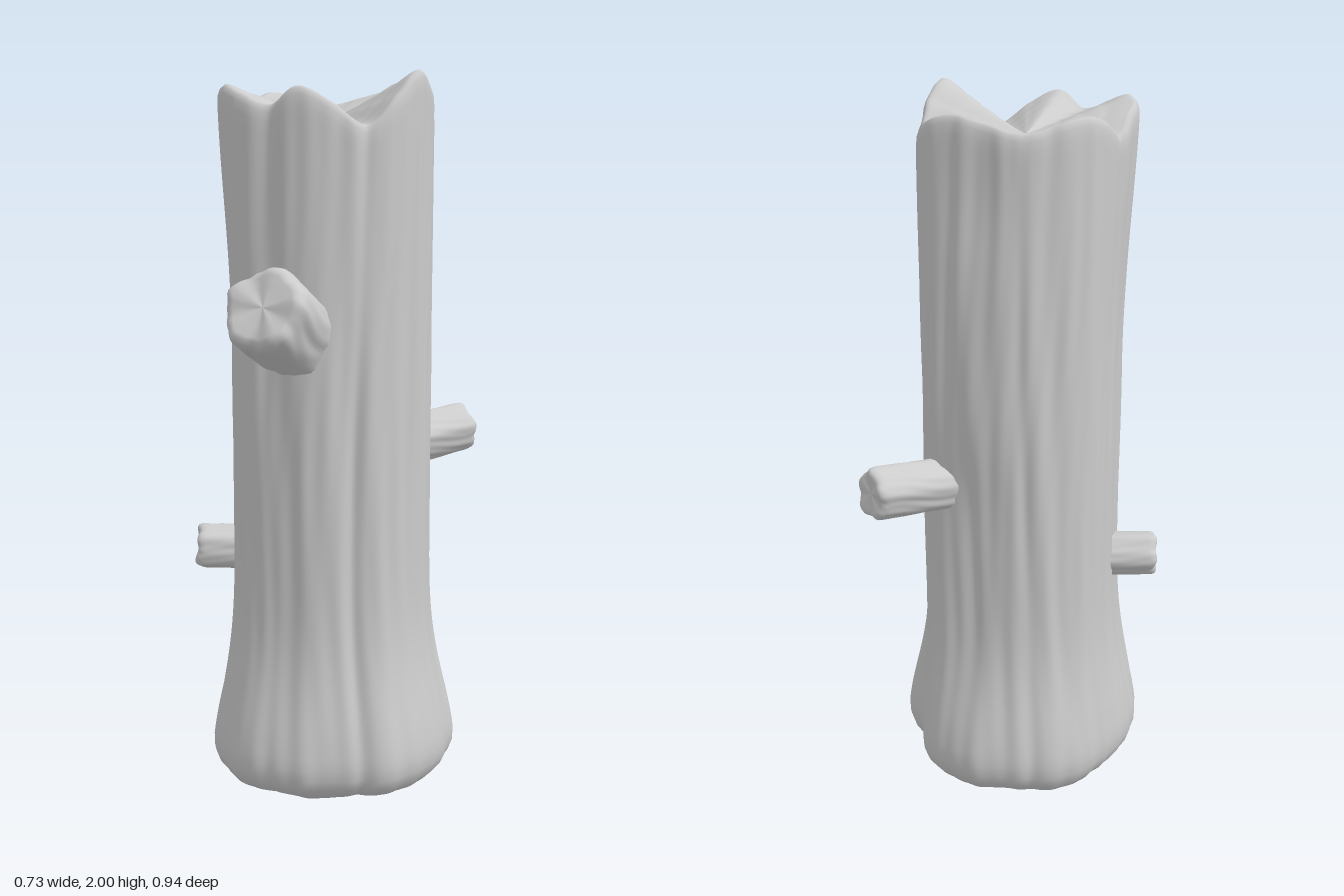
import * as THREE from 'three';

const TAU = Math.PI * 2;
const rad = THREE.MathUtils.degToRad;
const lerp = THREE.MathUtils.lerp;

// Smooth periodic interpolation through [degrees, value] pairs
function around(pairs) {
  return (a) => {
    const d = ((a * 360 / TAU) % 360 + 360) % 360;
    const n = pairs.length;
    let i = n - 1;
    for (let k = 0; k < n; k++) if (pairs[k][0] <= d) i = k;
    if (d < pairs[0][0]) i = n - 1;
    const p = (k) => pairs[(k + n) % n][1];
    const start = pairs[i][0];
    const span = (pairs[(i + 1) % n][0] - start + 360) % 360;
    const t = ((d - start + 360) % 360) / span;
    const m0 = (p(i + 1) - p(i - 1)) / 2, m1 = (p(i + 2) - p(i)) / 2;
    const t2 = t * t, t3 = t2 * t;
    return (2 * t3 - 3 * t2 + 1) * p(i) + (t3 - 2 * t2 + t) * m0
      + (3 * t2 - 2 * t3) * p(i + 1) + (t3 - t2) * m1;
  };
}

// Bell curve of the angle between a and deg, width in degrees
function bell(a, deg, width) {
  const d = a - rad(deg);
  const w = Math.atan2(Math.sin(d), Math.cos(d)) / rad(width);
  return Math.exp(-w * w);
}

// Closed skin from stacked rings; ring(k, angle) gives [radius, height]
function skin(rows, segments, ring) {
  const pos = [], index = [];
  for (let k = 0; k < rows; k++) {
    for (let j = 0; j < segments; j++) {
      const a = j / segments * TAU;
      const [r, y] = ring(k, a);
      pos.push(r * Math.cos(a), y, r * Math.sin(a));
      if (k < rows - 1) {
        const n = (j + 1) % segments, o = k * segments;
        index.push(o + j, o + segments + j, o + n, o + n, o + segments + j, o + segments + n);
      }
    }
  }
  const g = new THREE.BufferGeometry();
  g.setAttribute('position', new THREE.Float32BufferAttribute(pos, 3));
  g.setIndex(index);
  g.computeVertexNormals();
  return g;
}

const footRadius = around([[0, .365], [20, .37], [40, .37], [60, .345], [90, .365], [107, .375], [130, .365],
  [155, .34], [180, .318], [200, .318], [217, .335], [247, .33], [278, .35], [293, .355], [318, .325], [340, .365]]);
const stemRadius = around([[0, .295], [25, .3], [50, .295], [75, .298], [90, .295], [118, .32], [135, .315],
  [160, .285], [180, .272], [200, .275], [225, .268], [245, .268], [270, .262], [297, .3], [312, .295], [340, .285]]);
const rimHeight = around([[8, 2.0], [26, 1.935], [43, 1.86], [63, 1.92], [80, 1.957], [96, 1.912], [112, 1.94],
  [130, 1.965], [152, 1.935], [172, 1.88], [188, 1.93], [207, 1.95], [240, 1.915], [264, 1.935], [285, 1.953],
  [308, 1.92], [328, 1.88], [347, 1.95]]);

// Broad swellings of the stem: [degrees, width, height, half height, amount]
const swells = [[145, 32, .95, .75, -.04], [270, 25, 1.32, .35, .018]];
// Bark folds: [degrees, depth]
const folds = [[47, .012], [96, .005], [172, .008], [240, .006], [328, .01], [15, .004], [285, .005]];
function bark(a, y) {
  let s = .0022 * Math.sin(11 * a + 1.3 * Math.sin(2.6 * y))
    + .0018 * Math.sin(19 * a + 2 * Math.sin(2.1 * y + 1))
    + .0014 * Math.sin(31 * a + 2.5 * Math.sin(3.3 * y + 2)) * Math.sin(4 * y + 3 * a)
    + .002 * Math.sin(3 * y + 2 * a);
  for (const [deg, depth] of folds) s -= depth * bell(a + .06 * Math.sin(2.4 * y + deg), deg, 4);
  for (const [deg, width, mid, half, amount] of swells) {
    s += amount * bell(a, deg, width) * Math.exp(-(((y - mid) / half) ** 4));
  }
  return s;
}

function trunkGeometry() {
  // Rounded underside, as [radius share, height]
  const foot = [[0, .014], [.35, .008], [.6, 0], [.72, .002], [.82, .014], [.9, .032], [.96, .06], [.99, .09]];
  const wall = 60;
  // Rounded rim and sunken top, as [radius share, drop below the rim]
  const rim = [[.992, .02], [.975, .006], [.95, 0], [.92, .001]];
  const top = 14;
  const shape = (a, y) => {
    const flare = Math.exp(-(((y - .08) / .27) ** 2));
    return lerp(stemRadius(a), footRadius(a), flare) + bark(a, y);
  };
  return skin(foot.length + wall + rim.length + top, 240, (k, a) => {
    const h = rimHeight(a);
    if (k < foot.length) {
      const [s, y] = foot[k];
      const lobe = .012 * (.5 + .5 * Math.cos(7 * a + 1)) * s * (1 - s) * 4;
      return [shape(a, .1) * s, y + lobe];
    }
    k -= foot.length;
    if (k < wall) {
      const y = lerp(.125, h - .045, k / (wall - 1));
      return [shape(a, y), y];
    }
    k -= wall;
    if (k < rim.length) return [shape(a, h) * rim[k][0], h - rim[k][1]];
    const t = .88 * (1 - (k - rim.length) / (top - 1));
    const ripple = .003 * Math.sin(30 * t + 2 * Math.sin(3 * a)) * t;
    return [shape(a, h) * t, lerp(1.875, h - .002, Math.pow(t / .92, 1.15)) + ripple];
  });
}

// Broken branch stub, growing along +y with its tip at the origin
function stubGeometry(radius, length, seed) {
  const wall = 14;
  const cap = [[.98, .2], [.93, .08], [.84, .01], [.74, 0], [.5, -.03], [.25, -.05], [0, -.06]];
  const rough = (a, y) => radius * (1 + .04 * Math.cos(5 * a + seed) + .015 * Math.sin(9 * a + seed + 8 * y)
    + .012 * Math.sin(16 * a + 3 * Math.sin(20 * y + seed)));
  return skin(wall + cap.length, 72, (k, a) => {
    const jag = radius * (.06 * Math.cos(5 * a + seed) + .05 * Math.sin(2 * a + seed));
    if (k < wall) {
      const y = lerp(-length, jag - radius * .35, k / (wall - 1));
      return [rough(a, y), y];
    }
    const [s, drop] = cap[k - wall];
    return [rough(a, 0) * s, jag * s - radius * Math.abs(drop)];
  });
}

export function createModel() {
  const model = new THREE.Group();
  model.name = 'treeStump';
  const wood = new THREE.MeshStandardMaterial({ color: 0xcccccc });

  const add = (name, geometry) => {
    const mesh = new THREE.Mesh(geometry, wood);
    mesh.name = name;
    model.add(mesh);
    return mesh;
  };

  add('trunk', trunkGeometry());

  // Branch stubs: name, tip, direction, radius, length, seed
  const stubs = [
    ['frontBranch', [.02, 1.41, .42], [0, .47, .88], .115, .3, 1.2],
    ['backBranch', [.228, .96, -.45], [.45, .08, -.88], .071, .32, 2.5],
    ['sideBranch', [-.34, .666, .172], [-.87, .03, .45], .063, .24, 4.1],
  ];
  for (const [name, tip, dir, radius, length, seed] of stubs) {
    const mesh = add(name, stubGeometry(radius, length, seed));
    mesh.position.set(...tip);
    mesh.quaternion.setFromUnitVectors(new THREE.Vector3(0, 1, 0), new THREE.Vector3(...dir).normalize());
  }
  return model;
}
